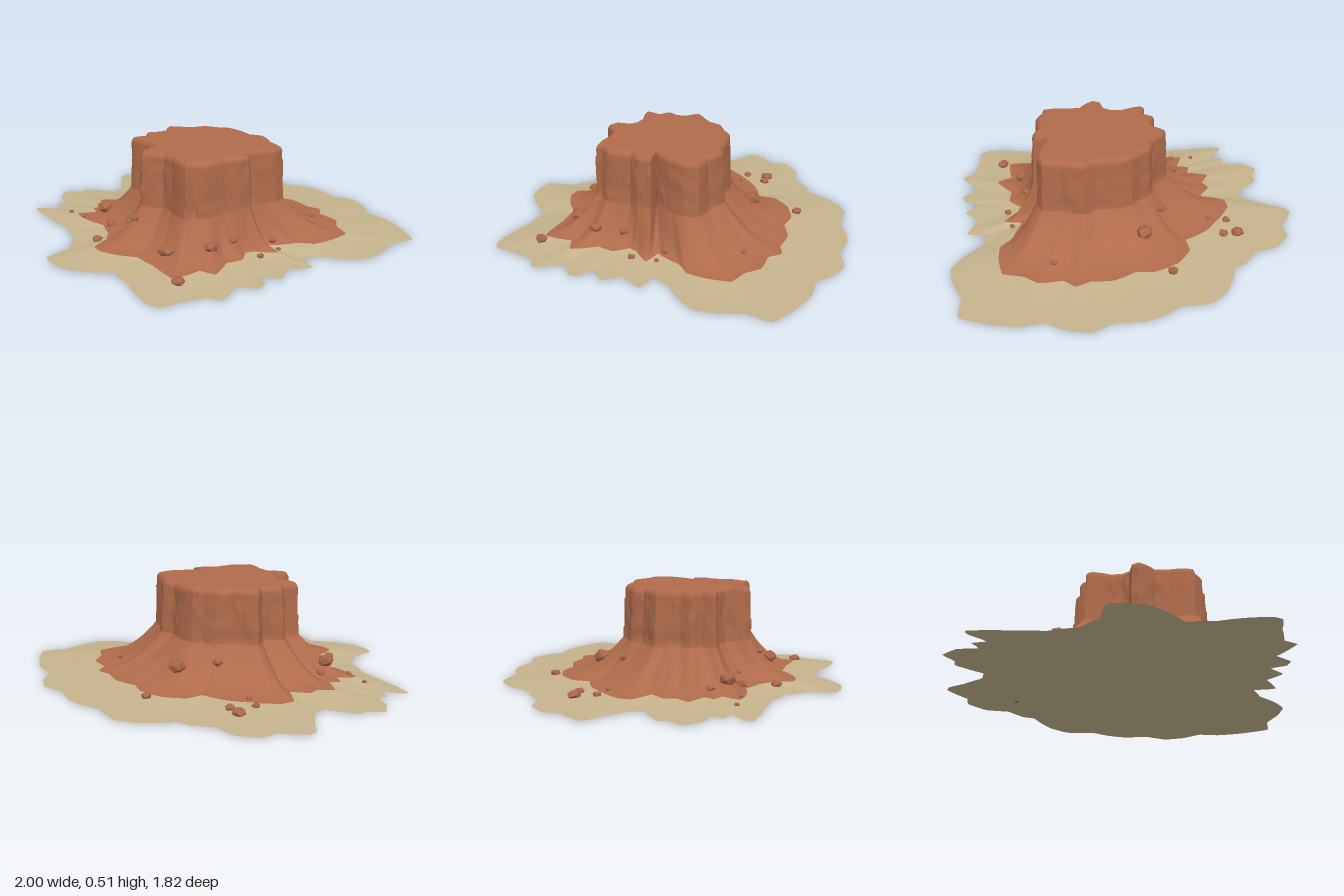
import * as THREE from 'three';
import { ConvexGeometry } from 'three/addons/geometries/ConvexGeometry.js';

const CX = 0.03, CZ = 0.08; // axis all gullies radiate from
const N = 360;

// Plan outlines as x, z pairs
const RIM = [-.02, -.27, .08, -.26, .16, -.23, .23, -.25, .29, -.21, .32, -.18, .41, -.14, .41, -.07, .38, -.02,
  .28, .08, .37, .09, .35, .16, .30, .20, .29, .25, .27, .32, .22, .36, .21, .39, .09, .35, .02, .33, -.08, .38,
  -.11, .35, -.10, .28, -.13, .24, -.19, .21, -.29, .21, -.31, .20, -.27, .13, -.31, .08, -.27, .03, -.26, -.02,
  -.30, -.09, -.23, -.13, -.18, -.16, -.14, -.22, -.07, -.24];
const APRON = [0, -.62, .09, -.58, .22, -.60, .33, -.56, .41, -.57, .45, -.50, .57, -.47, .62, -.39, .71, -.33,
  .69, -.21, .65, -.11, .57, -.07, .47, .05, .56, .10, .46, .16, .43, .20, .47, .28, .43, .36, .47, .50, .38, .51,
  .34, .66, .24, .63, .16, .60, .04, .57, -.05, .61, -.16, .63, -.22, .61, -.24, .50, -.29, .43, -.39, .36,
  -.56, .35, -.63, .32, -.56, .24, -.62, .20, -.58, .15, -.68, .08, -.61, .02, -.62, -.04, -.53, -.10,
  -.64, -.19, -.62, -.26, -.50, -.35, -.40, -.41, -.26, -.44, -.24, -.53, -.14, -.60];
const SAND = [-.16, -.92, 0, -.88, .11, -.91, .20, -.91, .33, -.86, .46, -.88, .56, -.82, .63, -.73, .75, -.71,
  .87, -.64, 1, -.53, .94, -.41, .95, -.27, .93, -.16, .85, -.09, .73, -.03, .66, .05, .77, .10, .67, .20,
  .72, .30, .62, .35, .69, .40, .69, .46, .59, .50, .63, .66, .55, .68, .49, .79, .45, .89, .40, .90, .27, .85,
  .17, .79, .03, .74, -.07, .81, -.19, .86, -.31, .84, -.36, .81, -.35, .67, -.42, .55, -.56, .47, -.72, .43,
  -.92, .37, -.92, .34, -.80, .28, -.88, .24, -.83, .19, -.94, .15, -1, .06, -.93, 0, -.93, -.05, -.77, -.12,
  -.77, -.19, -.85, -.29, -.93, -.37, -.93, -.41, -.81, -.51, -.80, -.59, -.69, -.66, -.56, -.65, -.46, -.72,
  -.40, -.72, -.27, -.87];

// Boulders: x, z, radius
const ROCKS = [[-.08, -.65, .027], [-.55, -.48, .032], [-.475, -.465, .025], [-.55, -.365, .022], [-.465, -.32, .016],
  [-.04, -.40, .048], [-.195, -.27, .026], [.455, -.38, .018], [.47, .015, .022], [.53, .05, .015],
  [.51, .18, .02], [.38, .235, .026], [.36, .39, .035], [.18, .51, .045], [.38, .67, .032], [-.095, .435, .022],
  [-.285, .52, .028], [-.355, .335, .03], [-.46, .265, .044], [-.50, .18, .023], [-.57, .33, .015],
  [-.69, .305, .013], [-.235, .325, .016]];

function hash(a, b) {
  const s = Math.sin(a * 127.1 + b * 311.7) * 43758.5453;
  return s - Math.floor(s);
}

// Radius of an outline as a function of angle around the axis
function polar(flat) {
  const p = [];
  for (let i = 0; i < flat.length; i += 2) {
    const x = flat[i] - CX, z = flat[i + 1] - CZ;
    p.push([(Math.atan2(z, x) + Math.PI * 2) % (Math.PI * 2), Math.hypot(x, z)]);
  }
  p.sort((a, b) => a[0] - b[0]);
  const first = p[0], last = p[p.length - 1];
  p.unshift([last[0] - Math.PI * 2, last[1]]);
  p.push([first[0] + Math.PI * 2, first[1]]);
  return (a) => {
    let i = 1;
    while (i < p.length - 1 && p[i][0] < a) i++;
    const [a0, r0] = p[i - 1], [a1, r1] = p[i];
    return THREE.MathUtils.lerp(r0, r1, (a - a0) / Math.max(a1 - a0, 1e-6));
  };
}
const rim = polar(RIM), apron = polar(APRON), sand = polar(SAND);
const foot = (a) => rim(a) + 0.02;

// Surface through rings [y, radius(angle)], from inner/top to outer/bottom
function loft(rings, split = rings.length - 1) {
  const pos = [], index = [];
  for (const [y, radius] of rings) {
    for (let j = 0; j < N; j++) {
      const a = (j / N) * Math.PI * 2, r = radius(a);
      pos.push(CX + r * Math.cos(a), y, CZ + r * Math.sin(a));
    }
  }
  for (let i = 0; i < rings.length - 1; i++) {
    for (let j = 0; j < N; j++) {
      const k = (j + 1) % N, a = i * N + j, b = i * N + k;
      index.push(a, b, a + N, b, b + N, a + N);
    }
  }
  const g = new THREE.BufferGeometry();
  g.setAttribute('position', new THREE.Float32BufferAttribute(pos, 3));
  g.setIndex(index);
  g.computeVertexNormals();
  const cut = split * N * 6;
  g.addGroup(0, cut, 0);
  if (cut < index.length) g.addGroup(cut, index.length - cut, 1);
  return g;
}

const apronY = (t) => 0.025 + 0.19 * (1 - t) ** 2.1;
const sandY = (t) => 0.025 * (1 - t) ** 1.5;

function groundHeight(x, z) {
  const a = (Math.atan2(z - CZ, x - CX) + Math.PI * 2) % (Math.PI * 2);
  const r = Math.hypot(x - CX, z - CZ), f = foot(a), m = apron(a), s = sand(a);
  if (r < m) return apronY(Math.max(0, (r - f) / (m - f)));
  return sandY(Math.min(1, (r - m) / (s - m)));
}

export function createModel() {
  const group = new THREE.Group();
  const mat = (name, color) => {
    const m = new THREE.MeshStandardMaterial({ color });
    m.name = name;
    return m;
  };
  const redRock = mat('red rock', 0xb06b4b);
  const paleSand = mat('pale sand', 0xc4b28b);
  const boulderRed = mat('boulder red', 0xa8664a);
  const add = (name, geometry, material) => {
    const mesh = new THREE.Mesh(geometry, material);
    mesh.name = name;
    group.add(mesh);
    return mesh;
  };

  // Flat summit
  add('summit', loft([[0.503, () => 0], [0.5, (a) => rim(a) - 0.014]]), [redRock]);

  // Cliff wall with rounded brow and weathered strata
  const wall = [[0.5, (a) => rim(a) - 0.014], [0.495, (a) => rim(a) - 0.004], [0.482, (a) => rim(a) + 0.005]];
  const beds = [0.47, 0.425, 0.375, 0.325, 0.27, 0.225];
  for (let b = 0; b < beds.length - 1; b++) {
    const bulge = (a) => rim(a) + 0.007 + 0.002 * b + 0.009 * (hash(Math.floor(a * 6 + b * 0.4), b) - 0.4);
    wall.push([beds[b], bulge], [beds[b + 1] + 0.008, bulge]);
  }
  wall.push([0.215, foot]);
  add('cliffWall', loft(wall), [redRock]);

  // Scree apron running out into the sand
  const slope = [], steps = 14, sandSteps = 8;
  for (let i = 0; i <= steps; i++) {
    const t = i / steps;
    slope.push([apronY(t), (a) => THREE.MathUtils.lerp(foot(a), apron(a), t)]);
  }
  for (let i = 1; i <= sandSteps; i++) {
    const t = i / sandSteps;
    slope.push([sandY(t), (a) => THREE.MathUtils.lerp(apron(a), sand(a), t)]);
  }
  add('apronAndSand', loft(slope, steps), [redRock, paleSand]);

  // Underside
  add('underside', loft([[0, sand], [0, () => 0]]), [paleSand]);

  // Scattered faceted boulders
  ROCKS.forEach(([x, z, r], n) => {
    const points = [];
    for (let i = 0; i < 16; i++) {
      const y = 1 - (2 * i + 1) / 16, a = i * 2.4 + n, w = Math.sqrt(1 - y * y);
      const s = r * (0.85 + 0.35 * hash(i, n));
      points.push(new THREE.Vector3(Math.cos(a) * w * s, y * s * 0.75, Math.sin(a) * w * s));
    }
    const rock = add('boulder' + (n + 1), new ConvexGeometry(points), boulderRed);
    rock.position.set(x, groundHeight(x, z) + r * 0.25, z);
  });

  return group;
}
